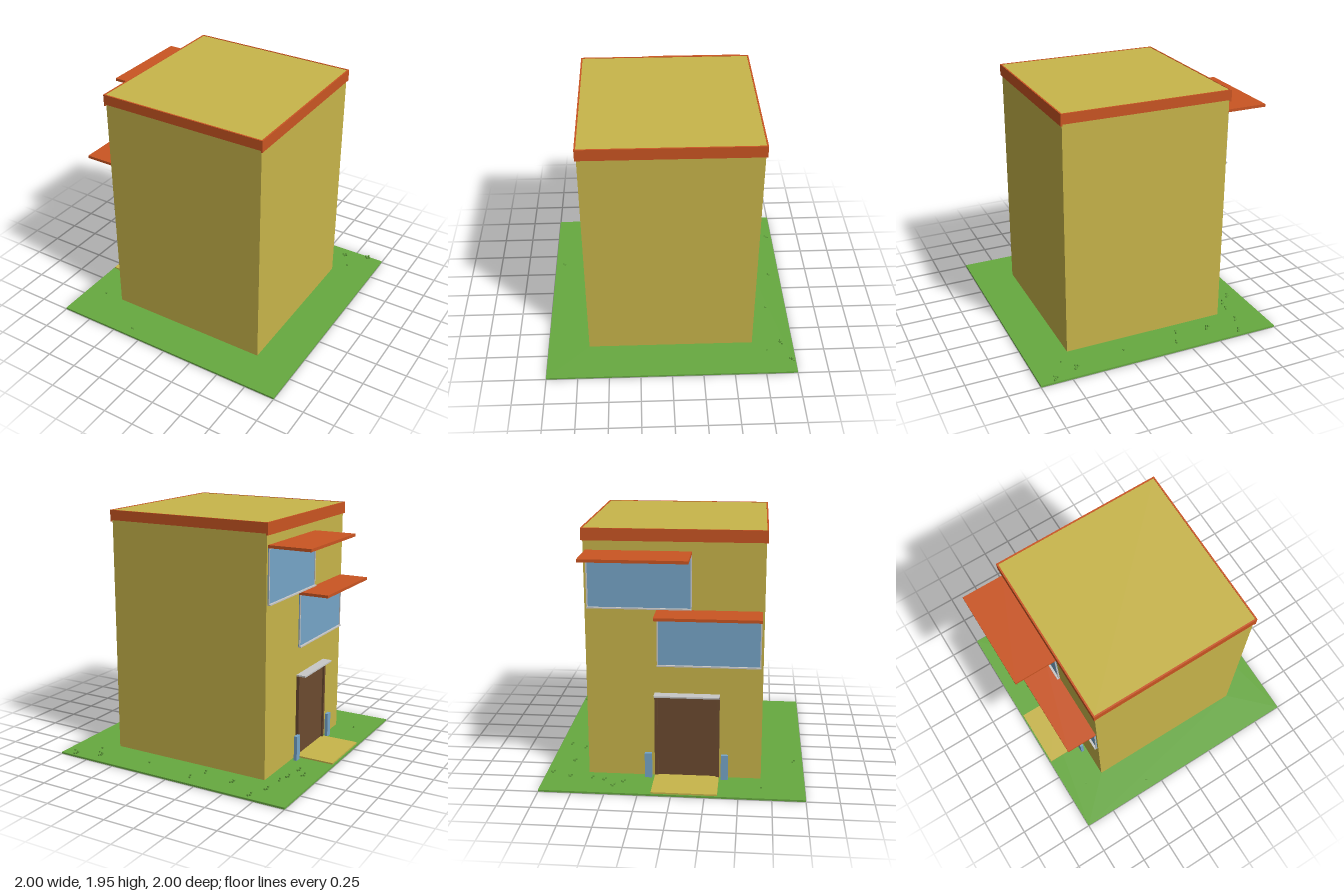
import * as THREE from 'three';

const paint = (name, color) => {
  const m = new THREE.MeshStandardMaterial({ color });
  m.name = name;
  return m;
};

export function createModel() {
  const wall = paint('ochre wall', 0xc8b54a);
  const red = paint('terracotta', 0xca5522);
  const green = paint('grass green', 0x67aa40);
  const blue = paint('blue glass', 0x76a5c8);
  const brown = paint('door brown', 0x6c4b30);
  const grey = paint('pale grey', 0xc8c8c8);

  const house = new THREE.Group();
  house.name = 'house';

  // Box given by its extents along each axis
  const box = (name, mat, [x0, x1], [y0, y1], [z0, z1], parent = house) => {
    const mesh = new THREE.Mesh(new THREE.BoxGeometry(x1 - x0, y1 - y0, z1 - z0), mat);
    mesh.position.set((x0 + x1) / 2, (y0 + y1) / 2, (z0 + z1) / 2);
    mesh.name = name;
    parent.add(mesh);
    return mesh;
  };
  const group = (name) => {
    const g = new THREE.Group();
    g.name = name;
    house.add(g);
    return g;
  };

  const W = 0.667; // half width of the building
  const R = 0.679; // outer half width of the roof trim

  // Lawn, open where the building stands
  const square = (s) => [[-s, -s], [s, -s], [s, s], [-s, s]].map(([x, y]) => new THREE.Vector2(x, y));
  const lawnShape = new THREE.Shape(square(1));
  lawnShape.holes.push(new THREE.Path(square(W)));
  const lawn = new THREE.Mesh(new THREE.ExtrudeGeometry(lawnShape, { depth: 0.014, bevelEnabled: false }), green);
  lawn.rotation.x = -Math.PI / 2;
  lawn.name = 'lawn';
  house.add(lawn);

  // Building block and roof trim
  box('building', wall, [-W, W], [0, 1.945], [-W, W]);
  const trim = group('roofTrim');
  for (const s of [-1, 1]) {
    const span = s > 0 ? [W, R] : [-R, -W];
    box('sideTrim', red, span, [1.857, 1.948], [-R, R], trim);
    box('endTrim', red, [-W, W], [1.87, 1.948], span, trim);
  }

  // Windows with frame, sill and awning on the entrance side
  const addWindow = (name, z0, z1, y0, y1, reach) => {
    const g = group(name);
    const t = 0.01;
    box('glass', blue, [-0.673, -W], [y0, y1], [z0, z1], g);
    for (const z of [z0, z1 - t]) box('frameSide', grey, [-0.679, -W], [y0, y1], [z, z + t], g);
    box('frameTop', grey, [-0.679, -W], [y1 - t, y1], [z0 + t, z1 - t], g);
    box('sill', grey, [-0.69, -W], [y0 - t, y0], [z0, z1], g);
    box('awning', red, [-reach, -W], [y1, y1 + 0.022], [z0, z1], g);
  };
  addWindow('upperWindow', -0.65, 0.13, 1.36, 1.764, 1);
  addWindow('lowerWindow', -0.13, 0.65, 0.92, 1.326, 0.905);

  // Doorway: panel, frame, canopy, posts and path
  const door = group('entrance');
  const [d0, d1] = [-0.15, 0.345];
  box('doorPanel', brown, [-0.677, -W], [0.014, 0.68], [d0, d1], door);
  for (const z of [d0, d1 - 0.025]) box('doorFrame', brown, [-0.692, -W], [0.014, 0.68], [z, z + 0.025], door);
  box('doorLintel', brown, [-0.692, -W], [0.66, 0.68], [d0, d1], door);
  box('doorCanopy', grey, [-0.745, -W], [0.683, 0.695], [d0, d1], door);
  for (const z of [-0.225, 0.36]) box('doorPost', blue, [-0.718, -0.692], [0.014, 0.215], [z, z + 0.055], door);
  box('path', wall, [-0.99, -W], [0.012, 0.026], [d0, d1], door);

  // Grass tufts built of tiny cubes: x, z, number of cubes
  const tufts = [
    [-0.7, -0.95, 3], [-0.16, -0.91, 2], [-0.48, -0.82, 4], [-0.76, -0.8, 3],
    [-0.22, -0.785, 2], [0.26, -0.83, 1], [0.68, -0.9, 5], [0.76, -0.78, 1],
    [0.87, -0.97, 5], [-0.83, 0.67, 1], [-0.36, 0.92, 2],
    [-0.8, -0.53, 3], [-0.82, -0.38, 3], [-0.77, -0.63, 2], [-0.89, -0.45, 3],
  ];
  const cubes = [[0, 0, 0], [0, 1, 1], [1, 0, -1], [-1, 1, 0], [1, 2, 0]];
  const grass = group('grassTufts');
  const c = 0.013;
  for (const [x, z, n] of tufts) {
    for (const [i, j, k] of cubes.slice(0, n)) {
      const [px, py, pz] = [x + i * c, 0.014 + j * c, z + k * c];
      box('tuft', green, [px - c / 2, px + c / 2], [py, py + c], [pz - c / 2, pz + c / 2], grass);
    }
  }
  return house;
}
